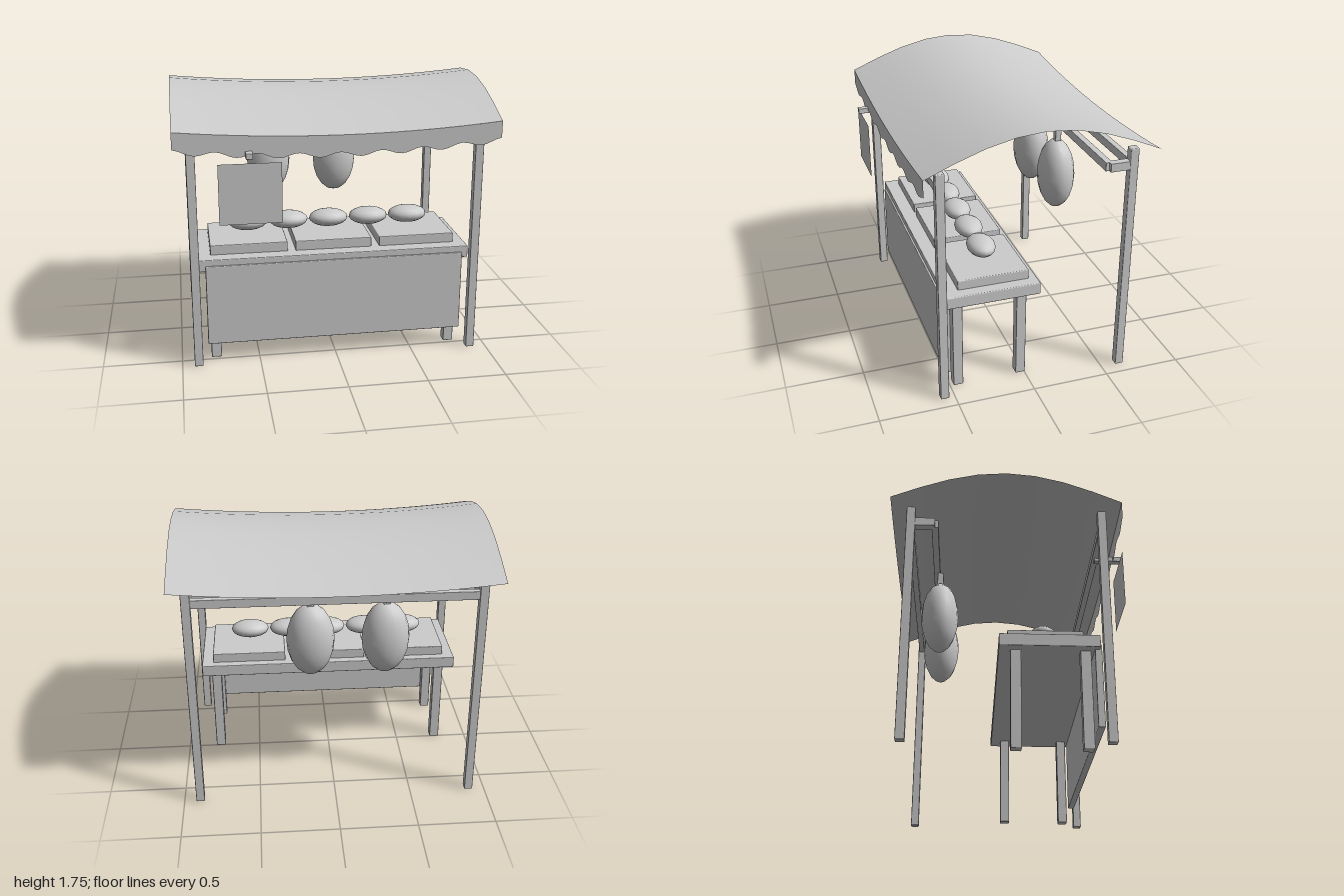
import * as THREE from 'three';
import { RoundedBoxGeometry } from 'three/addons/geometries/RoundedBoxGeometry.js';

export function createModel() {
  const stall = new THREE.Group();
  stall.name = 'marketStall';
  const grey = new THREE.MeshStandardMaterial({ color: 0xcccccc, side: THREE.DoubleSide });
  grey.name = 'plainGrey';

  const add = (name, geometry, x = 0, y = 0, z = 0) => {
    const mesh = new THREE.Mesh(geometry, grey);
    mesh.name = name;
    mesh.position.set(x, y, z);
    stall.add(mesh);
    return mesh;
  };
  // Slightly bevelled box given by its limits on each axis
  const box = (name, [x0, x1], [y0, y1], [z0, z1], bevel = 0.006) =>
    add(name, new RoundedBoxGeometry(x1 - x0, y1 - y0, z1 - z0, 1, bevel),
      (x0 + x1) / 2, (y0 + y1) / 2, (z0 + z1) / 2);
  const around = (c, w) => [c - w / 2, c + w / 2];
  const ellipsoid = (name, x, y, z, rx, ry, rz) =>
    add(name, new THREE.SphereGeometry(1, 16, 10), x, y, z).scale.set(rx, ry, rz);

  // Corner posts, and brackets reaching in from the back ones
  for (const x of [-0.895, 0.895]) {
    box('frontPost', around(x, 0.055), [0, 1.54], around(0.565, 0.055));
    box('backPost', around(x, 0.055), [0, 1.54], around(-0.625, 0.055));
    box('railBracket', around(x, 0.05), [1.405, 1.46], [-0.62, -0.475], 0.002);
  }

  // Cross rails
  box('frontRail', [-0.895, 0.895], [1.41, 1.46], around(0.565, 0.04), 0.002);
  box('backRail', [-0.895, 0.895], [1.405, 1.46], around(-0.625, 0.04), 0.002);
  box('hangingRail', [-0.895, 0.895], [1.405, 1.46], [-0.495, -0.453], 0.002);

  // Arched canopy that sags towards the middle of its length
  const sag = (x) => 0.05 * (1 - x * x);
  const zFront = 0.68, depth = 1.43;
  const canopy = new THREE.PlaneGeometry(2, depth, 16, 8).rotateX(-Math.PI / 2);
  const cp = canopy.attributes.position;
  for (let i = 0; i < cp.count; i++) {
    const t = cp.getZ(i) / depth + 0.5;
    cp.setY(i, 1.553 + 0.198 * Math.sin(Math.PI * t) - sag(cp.getX(i)));
    cp.setZ(i, zFront - depth * (1 - t));
  }
  canopy.computeVertexNormals();
  add('canopy', canopy);

  // Scalloped valance along the front edge
  const valance = new THREE.PlaneGeometry(2, 1, 64, 1);
  const vp = valance.attributes.position;
  for (let i = 0; i < vp.count; i++) {
    const x = vp.getX(i);
    const scallop = 0.015 * (1 - Math.cos(8 * Math.PI * x));
    vp.setY(i, (vp.getY(i) > 0 ? 1.553 : 1.448 - scallop) - sag(x));
  }
  add('valance', valance, 0, 0, zFront);

  // Counter with legs and front panel
  box('counterTop', [-0.87, 0.87], [0.617, 0.695], [-0.075, 0.528]);
  for (const x of [-0.777, 0.777])
    for (const z of [0.445, 0.027])
      box('counterLeg', around(x, 0.065), [0, 0.62], around(z, 0.065));
  box('frontPanel', [-0.83, 0.83], [0.125, 0.655], [0.497, 0.54]);

  // Trays and the loaves above them
  for (const x of [-0.547, 0, 0.547])
    box('tray', around(x, 0.495), [0.69, 0.757], [-0.022, 0.437]);
  for (let i = -2; i <= 2; i++)
    ellipsoid('loaf', i * 0.268, 0.834, 0.208, 0.129, 0.057, 0.09);

  // Hams hung from the inner rail
  for (const x of [-0.33, 0.147]) {
    ellipsoid('ham', x, 1.075, -0.447, 0.153, 0.245, 0.122);
    box('hamStrap', around(x, 0.042), [1.29, 1.405], around(-0.45, 0.04), 0.002);
  }

  // Sign board and its arm
  box('signArm', around(-0.553, 0.042), [1.39, 1.425], [0.56, 0.745], 0.002);
  add('signBoard', new THREE.PlaneGeometry(0.38, 0.375), -0.55, 1.172, 0.715);

  return stall;
}
